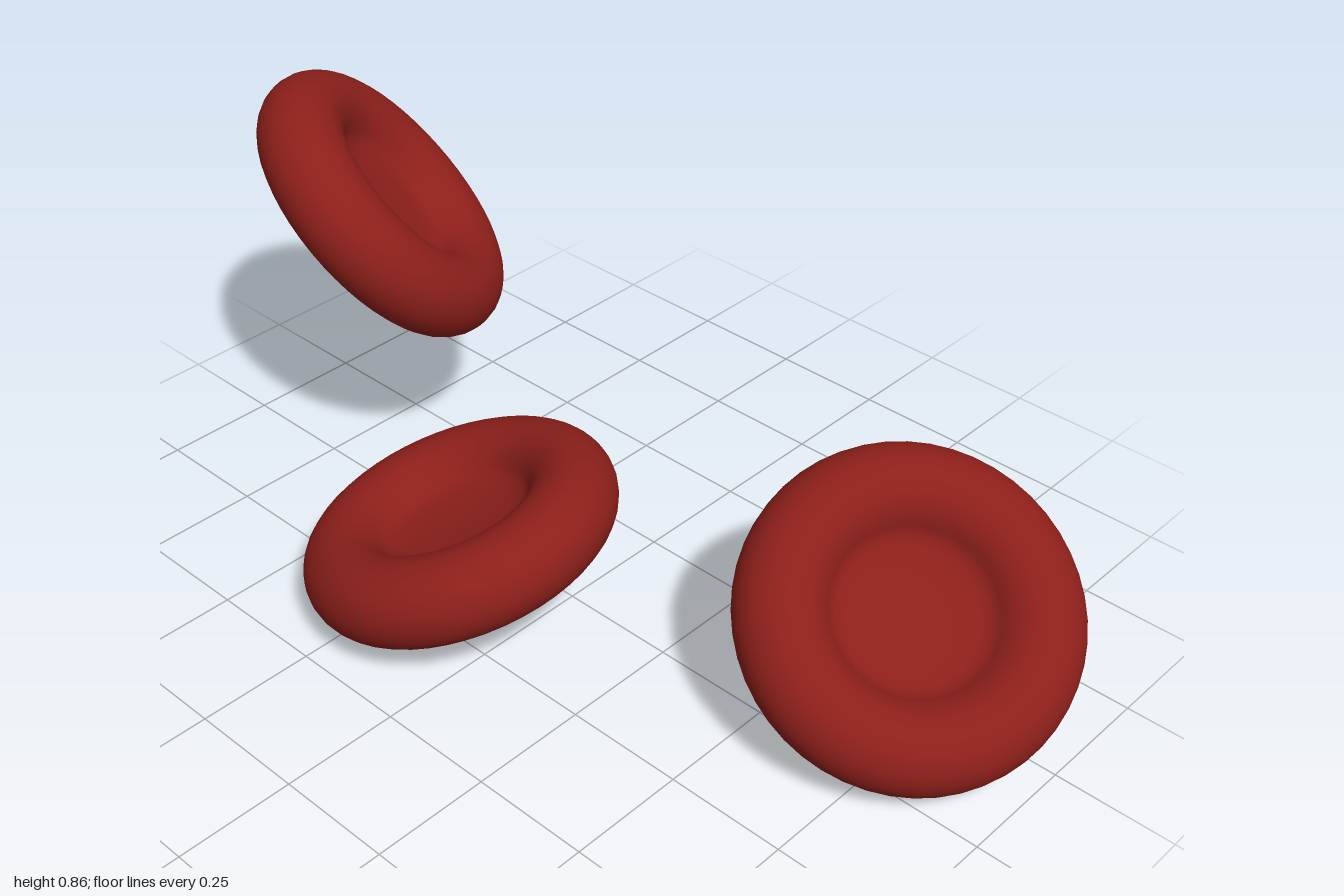
import * as THREE from 'three';

const RING = 0.242; // radius of the rim's centre line
const TUBE = 0.09; // radius of the rounded rim

// Half section of a cell: flat underside, round rim, dished top
function cellProfile() {
  const pts = [new THREE.Vector2(0, -TUBE), new THREE.Vector2(0.08, -TUBE), new THREE.Vector2(0.17, -TUBE)];
  const steps = 20;
  for (let i = 0; i <= steps; i++) {
    const t = THREE.MathUtils.degToRad(-90 + (240 * i) / steps);
    pts.push(new THREE.Vector2(RING + TUBE * Math.cos(t), TUBE * Math.sin(t)));
  }
  // Inner wall easing into the floor of the dimple
  const end = pts[pts.length - 1];
  const wall = new THREE.CubicBezierCurve(
    end.clone(),
    new THREE.Vector2(end.x - 0.017, end.y - 0.03),
    new THREE.Vector2(0.125, 0.008),
    new THREE.Vector2(0, 0.005)
  );
  pts.push(...wall.getPoints(12).slice(1));
  pts[pts.length - 1].x = 0;
  return pts;
}

export function createModel() {
  const group = new THREE.Group();
  group.name = 'bloodCells';
  const geometry = new THREE.LatheGeometry(cellProfile(), 48);
  const material = new THREE.MeshStandardMaterial({ color: 0x8c1f1a });

  // Centre of each cell and the direction its dimple faces
  const cells = [
    ['upperCell', [-0.702, 0.59, -0.148], [0.51, 0.67, -0.54]],
    ['lowerCell', [-0.165, 0.173, 0.153], [-0.31, 0.94, 0.16]],
    ['sideCell', [0.698, 0.253, -0.17], [0.5, 0.79, 0.37]],
  ];
  const up = new THREE.Vector3(0, 1, 0);
  for (const [name, position, facing] of cells) {
    const cell = new THREE.Mesh(geometry, material);
    cell.name = name;
    cell.position.set(...position);
    cell.quaternion.setFromUnitVectors(up, new THREE.Vector3(...facing).normalize());
    group.add(cell);
  }
  return group;
}
